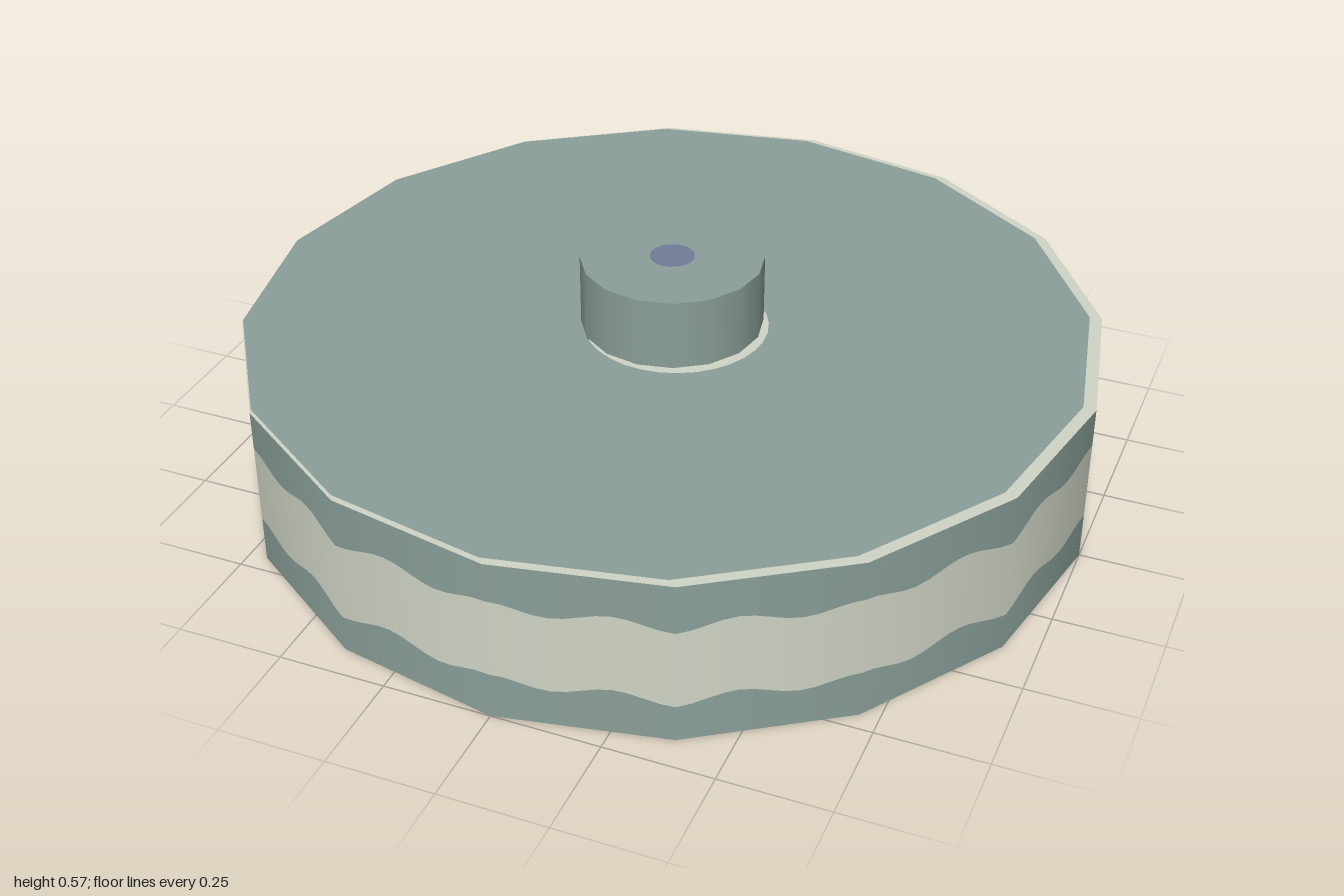
import * as THREE from 'three';

const SIDES = 16, STEPS = 12, WAVES = 24, HEIGHT = 0.395;

const material = (name, color) => {
  const m = new THREE.MeshStandardMaterial({ color });
  m.name = name;
  return m;
};

// Open strip around the sixteen-sided rim, between two height functions of the turn u (0..1)
function rimStrip(bottom, top) {
  const pos = [], nor = [], idx = [];
  const count = SIDES * STEPS;
  for (let i = 0; i <= count; i++) {
    const k = Math.floor(i / STEPS), t = (i % STEPS) / STEPS;
    const a = (k / SIDES) * Math.PI * 2, b = ((k + 1) / SIDES) * Math.PI * 2;
    const x = THREE.MathUtils.lerp(Math.sin(a), Math.sin(b), t);
    const z = THREE.MathUtils.lerp(Math.cos(a), Math.cos(b), t);
    const r = Math.hypot(x, z), u = i / count;
    pos.push(x, bottom(u), z, x, top(u), z);
    nor.push(x / r, 0, z / r, x / r, 0, z / r);
    if (i < count) {
      const n = i * 2;
      idx.push(n, n + 2, n + 1, n + 1, n + 2, n + 3);
    }
  }
  const g = new THREE.BufferGeometry();
  g.setAttribute('position', new THREE.Float32BufferAttribute(pos, 3));
  g.setAttribute('normal', new THREE.Float32BufferAttribute(nor, 3));
  g.setIndex(idx);
  return g;
}

export function createModel() {
  const model = new THREE.Group();
  model.name = 'roundBase';
  const teal = material('greyTeal', 0x8a9f99);
  const cream = material('cream', 0xd0d5c6);
  const slate = material('slateBlue', 0x717c98);

  const add = (name, geometry, mat, x = 0, y = 0, z = 0) => {
    const mesh = new THREE.Mesh(geometry, mat);
    mesh.name = name;
    mesh.position.set(x, y, z);
    model.add(mesh);
    return mesh;
  };
  const disc = (radius, sides) => new THREE.CircleGeometry(radius, sides).rotateX(-Math.PI / 2);

  // Rim with a wavy cream band
  const wave = (y) => (u) => y + 0.012 * Math.cos(u * WAVES * Math.PI * 2);
  const lower = wave(0.1), upper = wave(0.29);
  add('lowerRim', rimStrip(() => 0, lower), teal);
  add('wavyBand', rimStrip(lower, upper), cream);
  add('upperRim', rimStrip(upper, () => HEIGHT), teal);

  // Underside, and a top whose main colour leaves a thin cream edge
  add('underside', disc(1, SIDES).rotateX(Math.PI), slate);
  add('topEdge', disc(1, SIDES), cream, 0, HEIGHT, 0);
  add('topFace', disc(0.985, SIDES), teal, -0.014, HEIGHT + 0.002, 0);
  add('hubCrescent', disc(0.214, 32), cream, 0.016, HEIGHT + 0.004, 0.014);

  // Central hub with its dot
  add('hub', new THREE.CylinderGeometry(0.212, 0.212, 0.172, SIDES), teal, 0, HEIGHT + 0.086, 0);
  add('hubDot', disc(0.052, 24), slate, 0, HEIGHT + 0.174, 0);

  return model;
}
